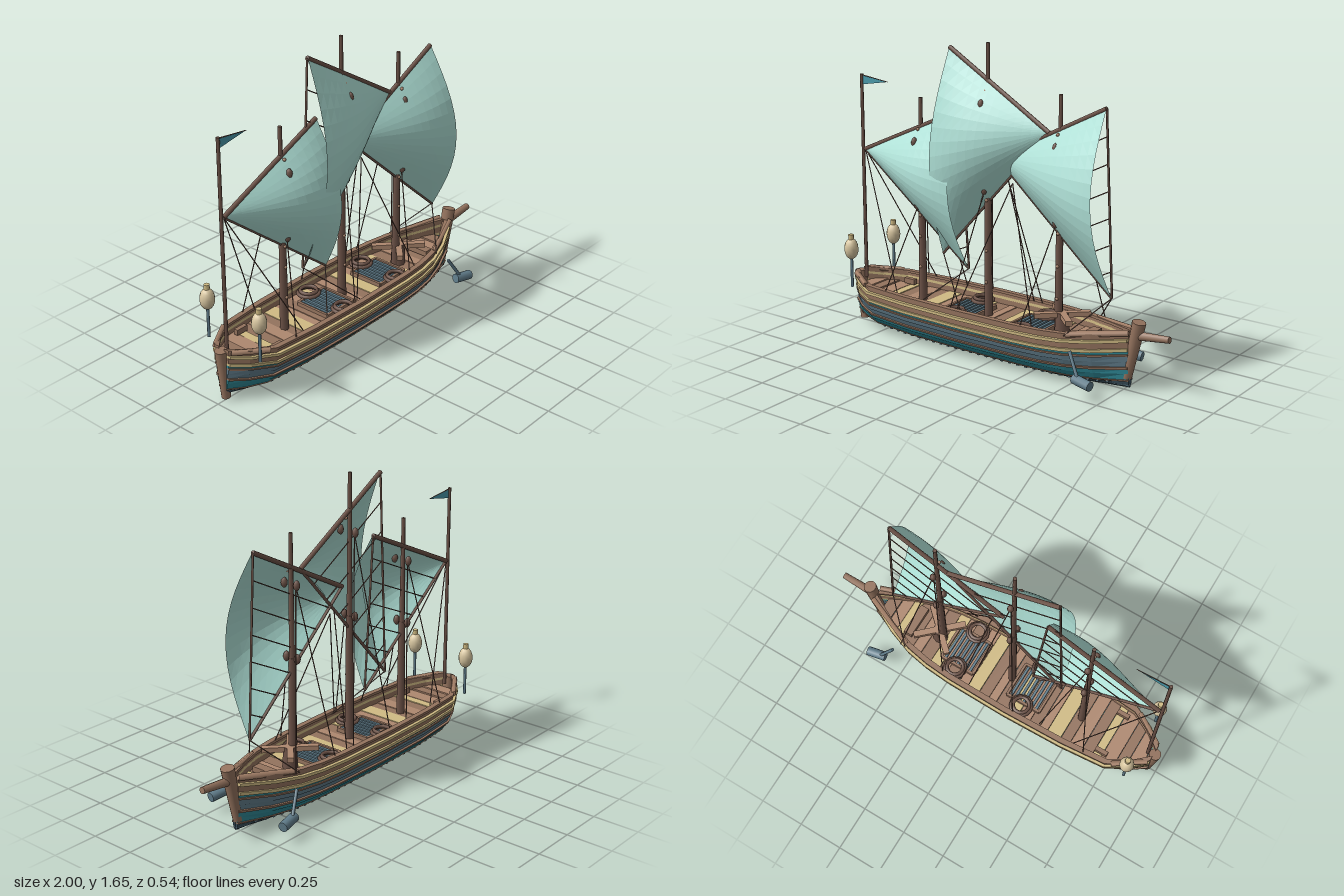
import * as THREE from 'three';

const mat = (name, color, side = THREE.FrontSide) => {
  const m = new THREE.MeshStandardMaterial({ color, side });
  m.name = name;
  return m;
};
const wood = mat('wood', 0x94735e), darkWood = mat('dark wood', 0x6c5247), plankWood = mat('plank wood', 0xae886f);
const tan = mat('tan', 0xd0bb84), slate = mat('slate', 0x607c8a), teal = mat('teal', 0x2f8996);
const hullDark = mat('dark hull', 0x384e5a), flagBlue = mat('flag blue', 0x4a9aab, THREE.DoubleSide);
const cloth = mat('sail cloth', 0xb0e2d8, THREE.DoubleSide), lampGlow = mat('lamp paper', 0xd8c6a0);

const V = (x, y, z = 0) => new THREE.Vector3(x, y, z);

// Linear lookup in a list of [position, value] pairs
function lookup(list, p) {
  for (let i = 1; i < list.length; i++) {
    const [a, va] = list[i - 1], [b, vb] = list[i];
    if (p <= b) return va + (vb - va) * Math.max(0, (p - a) / (b - a));
  }
  return list[list.length - 1][1];
}
const BEAM = [[-0.96, 0.04], [-0.88, 0.11], [-0.76, 0.178], [-0.5, 0.2], [-0.15, 0.209], [0.2, 0.203], [0.35, 0.19], [0.48, 0.165], [0.62, 0.112], [0.785, 0.025]];
const PROFILE = [[0, 0.03], [0.015, 0.33], [0.04, 0.56], [0.083, 0.75], [0.15, 0.9], [0.2, 0.96], [0.3, 0.98]];
const halfWidth = (x, y) => lookup(BEAM, x) * lookup(PROFILE, y);
function sheer(x, y) {
  const k = y / 0.28;
  const rise = 0.03 * Math.max(0, (x - 0.35) / 0.43) ** 2 + 0.02 * Math.max(0, (-0.7 - x) / 0.25) ** 2;
  return y + rise * k + 0.025 * (x / 0.85) ** 4 * (1 - k);
}

export function createModel() {
  const root = new THREE.Group();
  const group = (name) => {
    const g = new THREE.Group();
    g.name = name;
    root.add(g);
    return g;
  };
  const add = (parent, name, geo, material, pos = [0, 0, 0], rot = [0, 0, 0]) => {
    const m = new THREE.Mesh(geo, material);
    m.name = name;
    m.position.set(...pos);
    m.rotation.set(...rot);
    parent.add(m);
    return m;
  };
  const box = (parent, name, size, pos, material, rot) => add(parent, name, new THREE.BoxGeometry(...size), material, pos, rot);
  const rod = (parent, name, a, b, r0, r1, material, sides = 6) => {
    const m = add(parent, name, new THREE.CylinderGeometry(r1, r0, a.distanceTo(b), sides), material);
    m.position.copy(a).lerp(b, 0.5);
    m.quaternion.setFromUnitVectors(V(0, 1), b.clone().sub(a).normalize());
    return m;
  };
  const faceted = (tris) => {
    const g = new THREE.BufferGeometry().setFromPoints(tris);
    g.computeVertexNormals();
    return g;
  };

  // Hull strakes: a rectangular section swept along both sides
  const hull = group('hull');
  function strake(name, y0, y1, out, material, inner = 0.014) {
    const tris = [];
    for (const s of [1, -1]) {
      const tri = (a, b, c) => (s > 0 ? tris.push(a, b, c) : tris.push(a, c, b));
      const quad = (a, b, c, d) => { tri(a, b, c); tri(a, c, d); };
      const rings = BEAM.map(([x]) => [[y0, out], [y1, out], [y1, -inner], [y0, -inner]].map(
        ([y, o]) => V(x, sheer(x, y), s * Math.max(0.001, halfWidth(x, y) + o))));
      for (let i = 0; i + 1 < rings.length; i++)
        for (let j = 0; j < 4; j++) {
          const k = (j + 1) % 4;
          quad(rings[i][j], rings[i + 1][j], rings[i + 1][k], rings[i][k]);
        }
      quad(...rings[0]);
      quad(...rings[rings.length - 1].slice().reverse());
    }
    add(hull, name, faceted(tris), material);
  }
  strake('bottom planking', 0.004, 0.013, 0, hullDark, 0.02);
  strake('bottom slate planking', 0.012, 0.02, 0.003, slate, 0.02);
  strake('bilge planking', 0.019, 0.042, 0.003, hullDark);
  strake('lower wale', 0.038, 0.046, 0.008, wood);
  strake('lower teal planking', 0.044, 0.08, 0.002, teal);
  strake('middle teal planking', 0.078, 0.102, 0.005, teal);
  strake('middle wale', 0.101, 0.113, 0.013, wood);
  strake('slate planking', 0.111, 0.143, 0, slate);
  strake('upper slate planking', 0.141, 0.17, 0.005, slate);
  strake('upper wale', 0.168, 0.178, 0.012, wood);
  strake('teal stripe', 0.177, 0.193, 0.004, teal);
  strake('tan stripe', 0.191, 0.208, 0.014, tan);
  strake('bulwark', 0.206, 0.242, 0.004, wood);
  strake('tan rail stripe', 0.24, 0.256, 0.02, tan);
  strake('top planking', 0.254, 0.275, 0.003, wood);
  strake('rail cap', 0.273, 0.287, 0.008, wood, 0.022);
  box(hull, 'keel', [0.9, 0.01, 0.03], [0, 0.009, 0], hullDark);
  for (let x = -0.72; x < 0.72; x += 0.05)
    for (const s of [1, -1])
      box(hull, 'hull stud', [0.014, 0.009, 0.012], [x, sheer(x, 0.033), s * (halfWidth(x, 0.033) + 0.003)], slate);
  rod(hull, 'stern post', V(-0.943, 0.02), V(-0.966, 0.295), 0.024, 0.033, wood, 10);
  rod(hull, 'stem post', V(0.765, 0.07), V(0.828, 0.372), 0.026, 0.036, wood, 10);
  rod(hull, 'bowsprit', V(0.8, 0.298), V(1, 0.318), 0.024, 0.018, wood, 8);
  for (const s of [1, -1]) {
    rod(hull, 'bow rail', V(0.5, 0.284, s * 0.152), V(0.79, 0.318, s * 0.035), 0.016, 0.016, plankWood, 4);
    rod(hull, 'stern rail', V(-0.95, 0.295, s * 0.055), V(-0.79, 0.282, s * 0.162), 0.016, 0.016, plankWood, 4);
  }

  // Deck planks laid across the hull
  const deck = group('deck');
  const planks = [plankWood, wood, plankWood, tan, wood, plankWood, wood, tan];
  const widths = [0.07, 0.055, 0.08, 0.045, 0.06];
  for (let x = -0.93, i = 0; x < 0.7; i++) {
    const x1 = x + widths[i % 5], a = halfWidth(x, 0.2) - 0.005, b = halfWidth(x1, 0.2) - 0.005;
    const shape = new THREE.Shape([[x, -a], [x1, -b], [x1, b], [x, a]].map((p) => new THREE.Vector2(...p)));
    add(deck, 'deck plank', new THREE.ExtrudeGeometry(shape, { depth: 0.012, bevelEnabled: false }), planks[i % 8],
      [0, sheer(x, 0.2) + 0.003 * (i % 2), 0], [-Math.PI / 2, 0, 0]);
    x = x1 + 0.002;
  }

  // Hatches with gratings and coiled rope beside them
  for (const x of [-0.21, 0.21]) {
    for (const s of [1, -1]) {
      box(deck, 'hatch frame side', [0.2, 0.022, 0.014], [x, 0.225, s * 0.1], wood);
      box(deck, 'hatch frame end', [0.014, 0.022, 0.2], [x + s * 0.1, 0.225, 0], wood);
      for (let k = 0; k < 2; k++)
        add(deck, 'rope coil', new THREE.TorusGeometry(0.056 - k * 0.012, 0.01, 6, 14), darkWood,
          [x, 0.238 + k * 0.014, s * 0.12], [Math.PI / 2, 0, 0]);
    }
    for (let k = -3; k <= 3; k++) box(deck, 'grating bar', [0.014, 0.014, 0.19], [x + k * 0.026, 0.226, 0], slate);
  }
  for (const s of [1, -1]) {
    box(deck, 'stern bench', [0.07, 0.03, 0.024], [-0.71, 0.245, s * 0.12], wood);
    box(deck, 'capstan bar', [0.29, 0.026, 0.034], [0.38, 0.318, 0], plankWood, [0, s * 0.75, 0]);
  }
  box(deck, 'bow bench', [0.05, 0.03, 0.18], [0.535, 0.24, 0], wood);
  add(deck, 'capstan', new THREE.CylinderGeometry(0.035, 0.04, 0.12, 8), darkWood, [0.38, 0.27, 0]);

  // Masts and blocks: x, top, block heights, front offset of the high block
  const masts = group('masts'), rigging = group('rigging');
  const line = (name, a, b) => rod(rigging, name, a, b, 0.003, 0.003, darkWood, 5);
  for (const [x, top, low, high, zHigh] of [[-0.522, 1.32, 0.745, 1.09, 0.055], [-0.083, 1.65, 0.9, 1.345, 0.06], [0.358, 1.44, 0.8, 1.18, 0.045]]) {
    rod(masts, 'lower mast', V(x, 0.2), V(x, low), 0.023, 0.018, darkWood, 8);
    rod(masts, 'upper mast', V(x, low), V(x, top), 0.015, 0.01, darkWood, 8);
    for (const [y, z] of [[low, 0.036], [low, -0.036], [high, zHigh], [high, -0.036]])
      add(masts, 'pulley block', new THREE.SphereGeometry(0.017, 8, 6), darkWood, [x, y, z]).scale.set(1, 1.6, 1);
    for (const [y, z] of [[0.4, 0.019], [0.57, 0.017], [low - 0.06, 0.016], [high + 0.065, 0.026]])
      add(masts, 'mast peg', new THREE.SphereGeometry(0.009, 8, 6), plankWood, [x, y, z]);
    line('fore shroud', V(x, low, 0.03), V(x - 0.11, 0.28, 0.185));
    line('aft shroud', V(x, high, -0.03), V(x - 0.11, 0.28, -0.185));
    line('aft stay', V(x, high, -0.03), V(x + 0.17, 0.28, -0.17));
  }

  // Triangular sails: tip, peak, lower corner, billow depth and fullness
  const sails = group('sails');
  const N = 14;
  for (const [A, B, C, depth, full] of [
    [V(-0.91, 0.99), V(-0.27, 1.28), V(-0.21, 0.445), 0.145, 0.6],
    [V(0.29, 1.24), V(-0.325, 1.605), V(-0.38, 0.5), 0.152, 0.6],
    [V(-0.024, 1.07), V(0.62, 1.402), V(0.67, 0.462), 0.167, 0.5]]) {
    const point = (s, t) => {
      const p = A.clone().lerp(B.clone().lerp(C, t), s);
      p.z = 0.004 + depth * Math.sin(Math.PI * t) * Math.sin(Math.PI * full * s) ** 1.4;
      return p;
    };
    const flip = B.x > A.x;
    const tris = [];
    const tri = (a, b, c) => (flip ? tris.push(a, c, b) : tris.push(a, b, c));
    for (let i = 0; i < N; i++)
      for (let j = 0; j < N; j++) {
        const a = point(i / N, j / N), b = point((i + 1) / N, j / N);
        const c = point((i + 1) / N, (j + 1) / N), d = point(i / N, (j + 1) / N);
        if (i > 0) tri(a, c, d);
        tri(a, b, c);
      }
    add(sails, 'sail', faceted(tris), cloth);
    rod(sails, 'yard', A, B, 0.012, 0.012, darkWood, 8);
    rod(sails, 'foot spar', A, C, 0.008, 0.008, darkWood);
    rod(sails, 'leech spar', B, C, 0.006, 0.006, darkWood);
    for (let k = 1; k < 7; k++)
      rod(sails, 'sail batten', B.clone().lerp(C, k / 7), A.clone().lerp(C, k / 7), 0.003, 0.003, darkWood, 5);
  }

  // Sheets from the sail corners down to the rails: corner, foot x, side
  for (const [x, y, dx, s] of [[-0.91, 0.99, -0.56, 1], [-0.91, 0.99, -0.56, -1], [-0.21, 0.445, -0.39, 1], [-0.38, 0.5, -0.14, 1],
    [0.67, 0.462, 0.5, 1], [0.67, 0.462, 0.5, -1], [0.07, 0.95, 0.31, 1], [0.07, 0.95, -0.16, 1], [0.04, 0.97, 0.14, -1]])
    line('sheet', V(x, y), V(dx, 0.28, s * 0.17));

  // Stern lanterns and bow anchors on both sides
  for (const s of [1, -1]) {
    const lamp = group('lantern');
    lamp.position.set(-0.875, 0, s * 0.175);
    rod(lamp, 'lantern pole', V(0, 0.26), V(0, 0.43), 0.008, 0.008, slate, 8);
    add(lamp, 'lantern globe', new THREE.SphereGeometry(0.039, 12, 10), lampGlow, [0, 0.475, 0]).scale.y = 1.5;
    add(lamp, 'lantern cap', new THREE.CylinderGeometry(0.015, 0.015, 0.03, 8), tan, [0, 0.54, 0]);
    const anchor = group('anchor');
    rod(anchor, 'anchor arm', V(0.56, 0.225, s * 0.205), V(0.63, 0.11, s * 0.238), 0.009, 0.009, slate);
    rod(anchor, 'anchor weight', V(0.603, 0.1, s * 0.228), V(0.708, 0.088, s * 0.245), 0.026, 0.026, slate, 10);
  }

  // Flag at the stern
  const flag = group('flag');
  rod(flag, 'flag pole', V(-0.925, 0.26), V(-0.925, 1.4), 0.01, 0.009, darkWood, 8);
  add(flag, 'pennant', faceted([V(-0.925, 1.342), V(-0.748, 1.374), V(-0.925, 1.395)]), flagBlue);
  rod(flag, 'pennant rope', V(-0.925, 1.395), V(-0.745, 1.375), 0.003, 0.002, darkWood, 5);

  return root;
}
